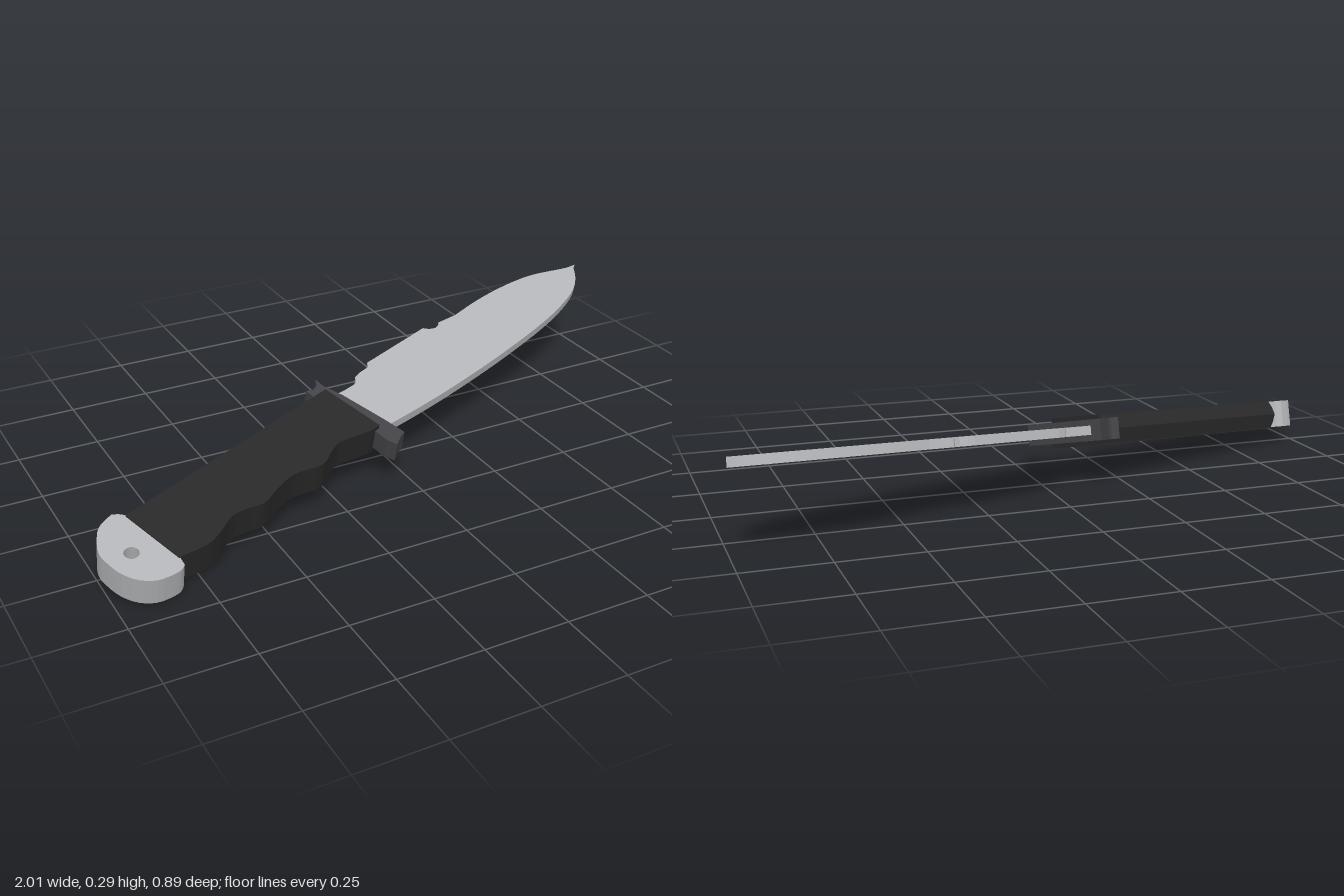
import * as THREE from 'three';

const mat = (name, color) => {
  const m = new THREE.MeshStandardMaterial({ color });
  m.name = name;
  return m;
};
const vecs = (pts) => pts.map(([x, y]) => new THREE.Vector2(x, y));
const smooth = (pts, n) => new THREE.SplineCurve(vecs(pts)).getPoints(n);

export function createModel() {
  const steel = mat('steel', 0xb4b5b8);
  const guardMetal = mat('dark guard metal', 0x434347);
  const grip = mat('black grip', 0x292929);

  // The knife is drawn flat along x, then turned and tilted as a whole
  const knife = new THREE.Group();
  knife.name = 'knife';

  // Extrudes an outline, centred on the knife's middle plane
  const plate = (name, outline, thickness, material, holes = []) => {
    const shape = new THREE.Shape(outline);
    shape.holes.push(...holes);
    const geo = new THREE.ExtrudeGeometry(shape, { depth: thickness, bevelEnabled: false, curveSegments: 16 });
    geo.translate(0, 0, -thickness / 2);
    const mesh = new THREE.Mesh(geo, material);
    mesh.name = name;
    knife.add(mesh);
    return mesh;
  };

  // Blade: curved cutting edge, clipped tip, stepped and notched spine
  const edge = smooth([
    [-0.1, -0.054], [0.08, -0.068], [0.232, -0.075], [0.462, -0.077], [0.696, -0.069],
    [0.847, -0.053], [0.961, -0.027], [1.03, 0.008], [1.079, 0.05],
  ], 32);
  const clip = smooth([
    [1.1, 0.06], [1.052, 0.071], [0.945, 0.116], [0.865, 0.137], [0.756, 0.152], [0.642, 0.157], [0.532, 0.154],
  ], 20);
  const spine = vecs([
    [0.456, 0.165], [0.445, 0.155], [0.425, 0.153], [0.405, 0.163], [0.393, 0.179], [0.117, 0.181],
    [0.104, 0.165], [0.063, 0.164], [0.034, 0.158], [0.012, 0.137], [-0.04, 0.138], [-0.1, 0.147],
  ]);
  plate('blade', [...edge, ...clip, ...spine], 0.028, steel);

  // Cross guard with flared ends
  plate('crossGuard', vecs([
    [-0.127, -0.06], [-0.131, -0.11], [-0.122, -0.143], [-0.088, -0.127], [-0.064, -0.122],
    [-0.066, -0.05], [-0.077, 0.11], [-0.09, 0.18], [-0.086, 0.218], [-0.102, 0.198],
    [-0.125, 0.189], [-0.147, 0.2], [-0.152, 0.16], [-0.138, 0.14],
  ]), 0.065, guardMetal);

  // Handle with finger grooves along the lower side
  const grooves = smooth([
    [-0.907, -0.052], [-0.82, -0.069], [-0.76, -0.058], [-0.7, -0.038], [-0.65, -0.044], [-0.595, -0.061],
    [-0.53, -0.046], [-0.465, -0.037], [-0.42, -0.046], [-0.36, -0.064], [-0.3, -0.043], [-0.255, -0.033],
    [-0.2, -0.046], [-0.148, -0.06], [-0.11, -0.06],
  ], 42);
  plate('handle', [...grooves, ...vecs([[-0.11, 0.156], [-0.907, 0.156]])], 0.093, grip);

  // Peaked back of the handle: a triangular strip running lengthwise
  const ridge = plate('handleBack', vecs([[-0.0465, 0], [0.0465, 0], [0, 0.02]]), 0.797, grip);
  ridge.rotation.y = Math.PI / 2;
  ridge.position.set(-0.5085, 0.155, 0);

  // Rounded pommel with a lanyard hole
  const cap = smooth([
    [-0.931, 0.186], [-0.983, 0.173], [-1.017, 0.144], [-1.046, 0.105], [-1.055, 0.069], [-1.054, 0.01],
    [-1.034, -0.04], [-0.996, -0.074], [-0.938, -0.087], [-0.912, -0.078],
  ], 30);
  const hole = new THREE.Path().absarc(-0.985, 0.045, 0.021, 0, Math.PI * 2, true);
  plate('pommel', [...cap, ...vecs([[-0.903, -0.05], [-0.903, 0.158], [-0.915, 0.175]])], 0.086, steel, [hole]);

  // Lay the knife down on its slope
  knife.rotation.set(THREE.MathUtils.degToRad(-75), 0, THREE.MathUtils.degToRad(22));
  knife.position.y = 0.159;

  const model = new THREE.Group();
  model.name = 'combatKnife';
  model.add(knife);

  // Centre on x and z and stand on y = 0
  model.updateMatrixWorld(true);
  const box = new THREE.Box3().setFromObject(model, true);
  const c = box.getCenter(new THREE.Vector3());
  knife.position.x -= c.x;
  knife.position.y -= box.min.y;
  knife.position.z -= c.z;
  return model;
}
